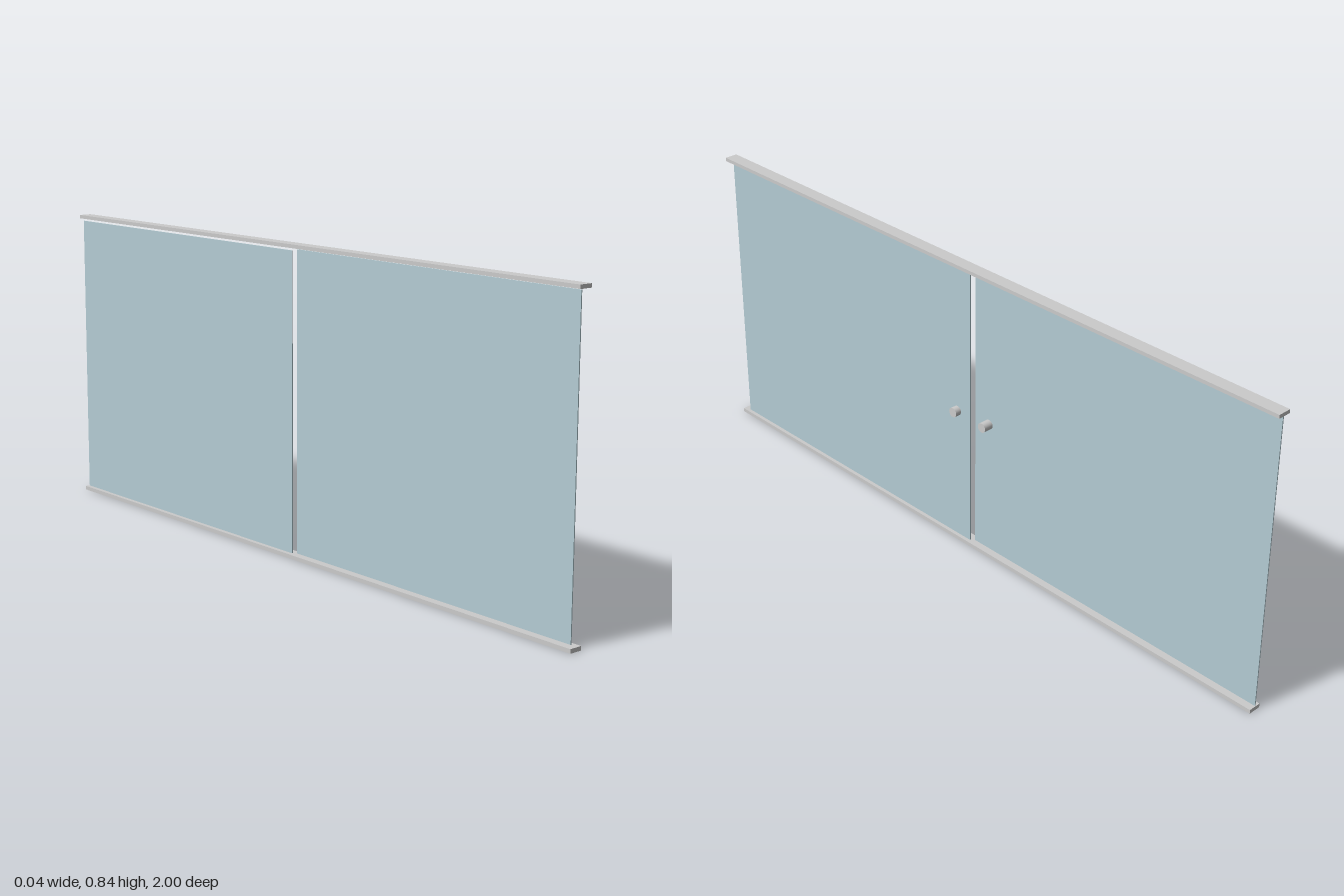
import * as THREE from 'three';

const grey = new THREE.MeshStandardMaterial({ color: 0xcccccc });
const glass = new THREE.MeshStandardMaterial({ color: 0xb4ccd4 });

// Box given by its lower and upper corners
function boxBetween(name, [x0, y0, z0], [x1, y1, z1], material) {
  const mesh = new THREE.Mesh(new THREE.BoxGeometry(x1 - x0, y1 - y0, z1 - z0), material);
  mesh.position.set((x0 + x1) / 2, (y0 + y1) / 2, (z0 + z1) / 2);
  mesh.name = name;
  return mesh;
}

// Round pull whose axis runs along x
function knob(name, x0, x1, z) {
  const geometry = new THREE.CylinderGeometry(0.0135, 0.0135, x1 - x0, 32).rotateZ(Math.PI / 2);
  const mesh = new THREE.Mesh(geometry, grey);
  mesh.position.set((x0 + x1) / 2, 0.403, z);
  mesh.name = name;
  return mesh;
}

export function createModel() {
  const group = new THREE.Group();
  group.name = 'slidingGlassDoors';

  // Tracks, slightly offset from one another
  group.add(boxBetween('bottomRail', [-0.022, 0, -0.992], [0.014, 0.011, 1], grey));
  group.add(boxBetween('topRail', [-0.016, 0.833, -1], [0.021, 0.843, 0.992], grey));

  // Two panes in parallel planes, with a narrow gap between them
  group.add(boxBetween('frontPane', [0.0005, 0.011, 0], [0.0035, 0.829, 0.98], glass));
  group.add(boxBetween('rearPane', [-0.0095, 0.011, -0.99], [-0.0065, 0.826, -0.01], glass));

  // One knob on each pane
  group.add(knob('frontPaneKnob', 0.002, 0.021, 0.048));
  group.add(knob('rearPaneKnob', -0.008, 0.021, -0.062));

  return group;
}
